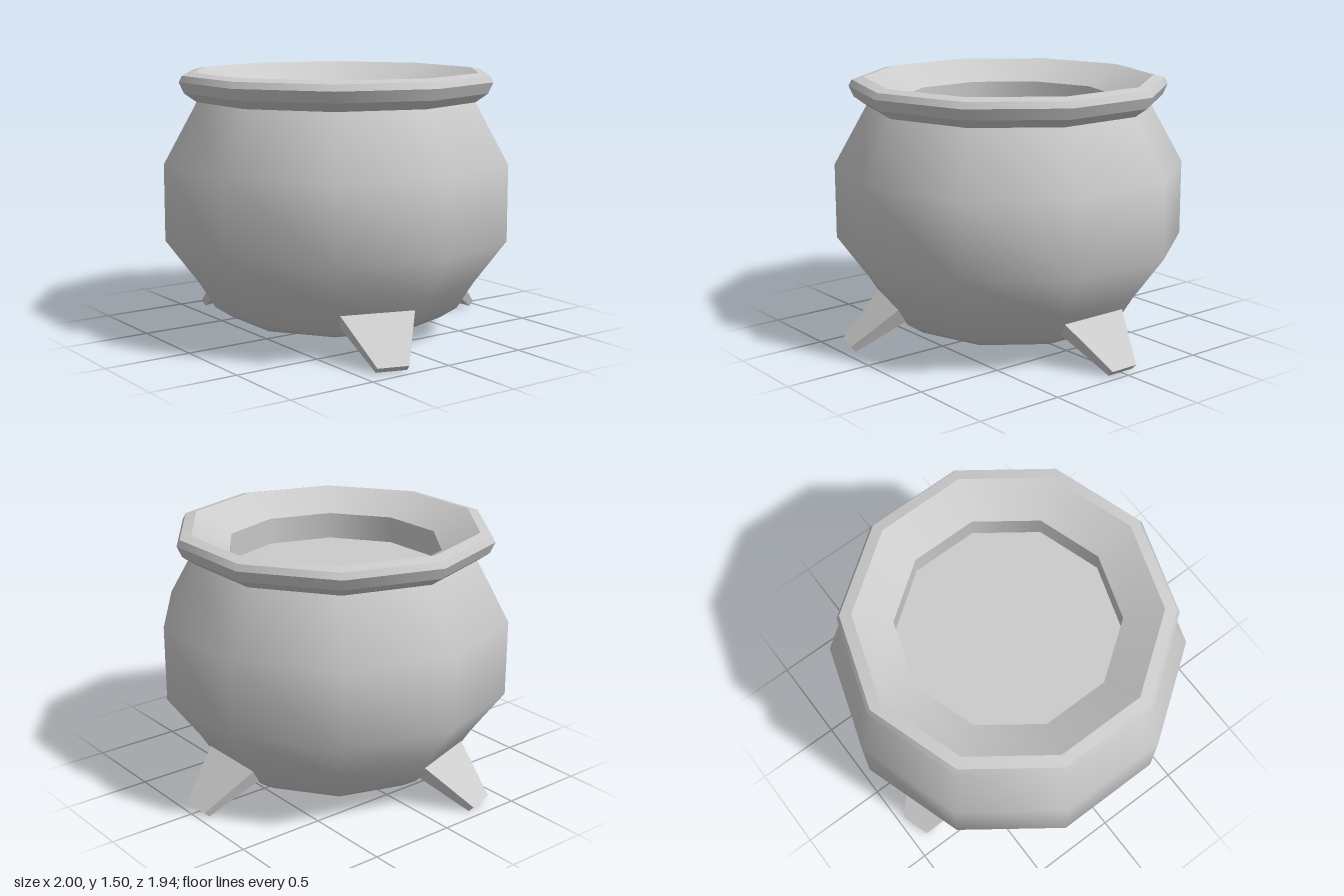
import * as THREE from 'three';

const SIDES = 10;
const CENTRE_Z = 0.015;
const material = new THREE.MeshStandardMaterial({ color: 0xcccccc });

// Ten-sided surface of revolution, one corner pointing along +x
function ring(name, profile) {
  const points = profile.map(([r, y]) => new THREE.Vector2(r, y));
  const mesh = new THREE.Mesh(new THREE.LatheGeometry(points, SIDES, Math.PI / SIDES), material);
  mesh.name = name;
  return mesh;
}

// Tapered slab leaning outwards; +z is the radial direction
function leg(name, angle) {
  const geometry = new THREE.BoxGeometry(2, 2, 2);
  const p = geometry.attributes.position;
  for (let i = 0; i < p.count; i++) {
    const root = p.getY(i) > 0;
    const outer = p.getZ(i) > 0;
    const halfWidth = root ? 0.23 : 0.087;
    const [r, y] = root ? (outer ? [0.7, 0.293] : [0.62, 0.235])
                        : (outer ? [0.985, 0.03] : [0.955, 0]);
    p.setXYZ(i, p.getX(i) * halfWidth, y, r);
  }
  geometry.computeVertexNormals();
  const mesh = new THREE.Mesh(geometry, material);
  mesh.name = name;
  mesh.rotation.y = angle;
  return mesh;
}

export function createModel() {
  const model = new THREE.Group();
  model.name = 'cauldron';
  const pot = new THREE.Group();
  pot.name = 'pot';
  pot.position.z = CENTRE_Z;
  model.add(pot);

  // Rounded belly
  pot.add(ring('belly', [
    [0, 0.01], [0.62, 0.102], [0.72, 0.167], [0.815, 0.32],
    [1, 0.57], [1, 1], [0.81, 1.34],
  ]));

  // Rim: separate bands keep the edges between them sharp
  const rim = new THREE.Group();
  rim.name = 'rim';
  const rimProfile = [
    [0.81, 1.34], [0.88, 1.39], [0.908, 1.452], [0.89, 1.487],
    [0.825, 1.502], [0.613, 1.385], [0.618, 1.23],
  ];
  const bands = ['rimUnderside', 'rimLowerBand', 'rimUpperBand', 'rimTop', 'rimFunnel', 'innerWall'];
  bands.forEach((name, i) => rim.add(ring(name, [rimProfile[i], rimProfile[i + 1]])));
  pot.add(rim);

  // Flat surface of the contents
  pot.add(ring('contents', [[0.618, 1.23], [0, 1.23]]));

  // Three legs
  const side = THREE.MathUtils.degToRad(72);
  pot.add(leg('leftLeg', side), leg('rightLeg', -side), leg('backLeg', Math.PI));

  return model;
}
